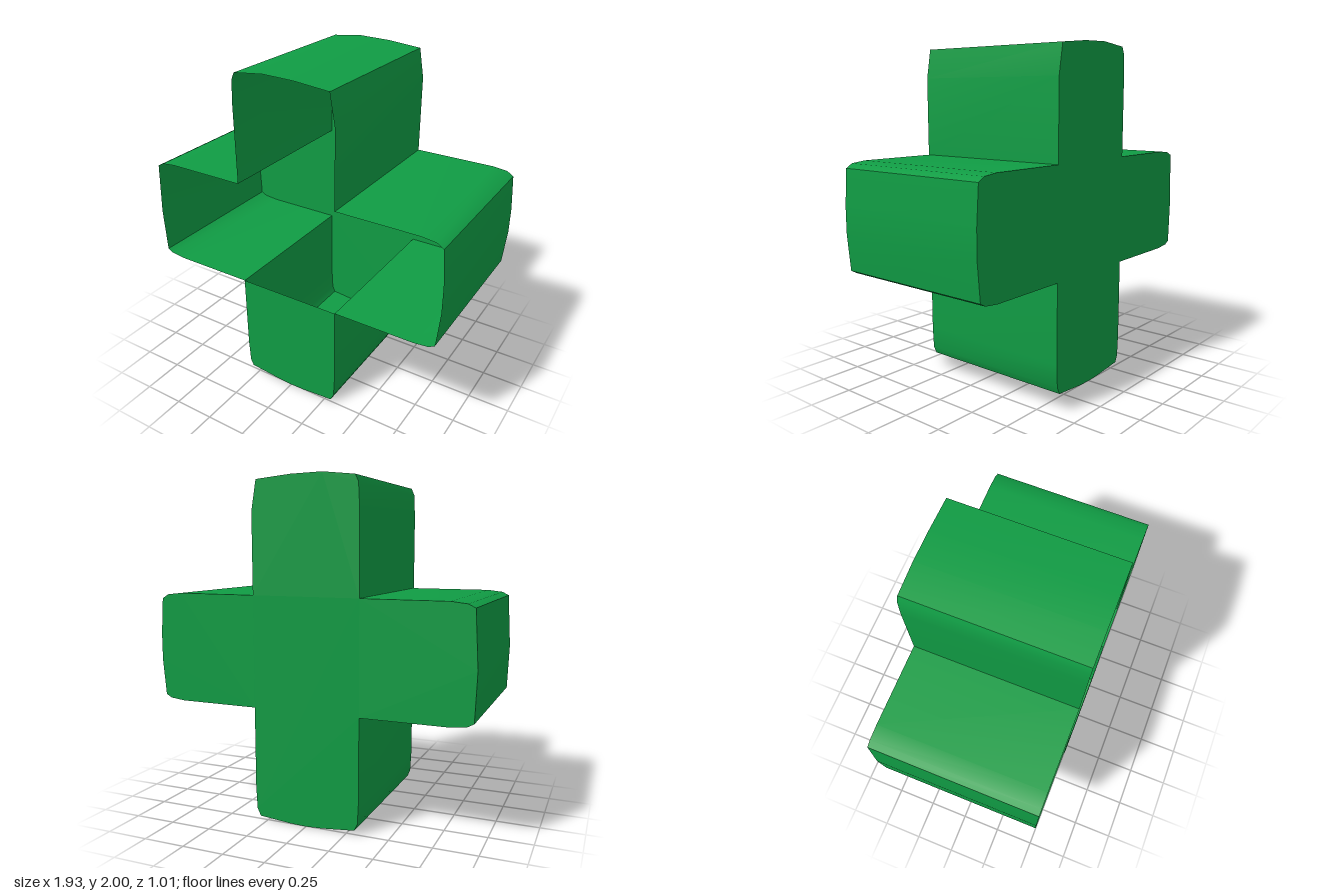
import * as THREE from 'three';
import { toCreasedNormals } from 'three/addons/utils/BufferGeometryUtils.js';

const HALF_DEPTH = 0.505;

// Outline of each arm, running clockwise as seen from the front
const topArm = [[-0.325, 1.33], [-0.325, 1.8], [-0.318, 1.94], [-0.3, 1.98], [-0.11, 2], [0.08, 1.995],
  [0.295, 1.975], [0.325, 1.8]];
const leftArm = [[0.325, 1.33], [0.82, 1.33], [0.91, 1.32], [0.95, 1.295], [0.965, 1.08], [0.965, 0.92],
  [0.945, 0.705], [0.91, 0.685], [0.82, 0.675]];
const bottomArm = [[0.325, 0.675], [0.325, 0.2], [0.318, 0.065], [0.297, 0.02], [0.1, 0.003], [0, 0], [-0.1, 0.005],
  [-0.3, 0.025], [-0.318, 0.065], [-0.325, 0.2], [-0.325, 0.675]];
const rightArm = [[-0.82, 0.675], [-0.92, 0.685], [-0.957, 0.705], [-0.968, 0.98], [-0.95, 1.3], [-0.91, 1.32],
  [-0.82, 1.33]];

// Flat plate filling an outline
function plate(points) {
  return new THREE.ShapeGeometry(new THREE.Shape(points.map(([x, y]) => new THREE.Vector2(x, y))));
}

// Closed band running front to back along an outline
function band(points) {
  const positions = [], index = [];
  const n = points.length;
  points.forEach(([x, y], i) => {
    positions.push(x, y, HALF_DEPTH, x, y, -HALF_DEPTH);
    const a = 2 * i, b = 2 * ((i + 1) % n);
    index.push(a, b, a + 1, b, b + 1, a + 1);
  });
  const geometry = new THREE.BufferGeometry();
  geometry.setAttribute('position', new THREE.Float32BufferAttribute(positions, 3));
  geometry.setIndex(index);
  return toCreasedNormals(geometry, 0.5);
}

export function createModel() {
  const model = new THREE.Group();
  model.name = 'hollowCross';
  const green = new THREE.MeshStandardMaterial({ color: 0x109c44, side: THREE.DoubleSide });
  green.name = 'green';

  const add = (name, geometry, z = 0) => {
    const mesh = new THREE.Mesh(geometry, green);
    mesh.name = name;
    mesh.position.z = z;
    model.add(mesh);
  };

  const outline = [...topArm, ...leftArm, ...bottomArm, ...rightArm];
  add('sideWalls', band(outline));
  add('backPanel', plate(outline), -HALF_DEPTH);
  // Only the bottom arm is closed at the front; the rest is an open tray
  add('bottomArmFrontPanel', plate(bottomArm), HALF_DEPTH);
  return model;
}
